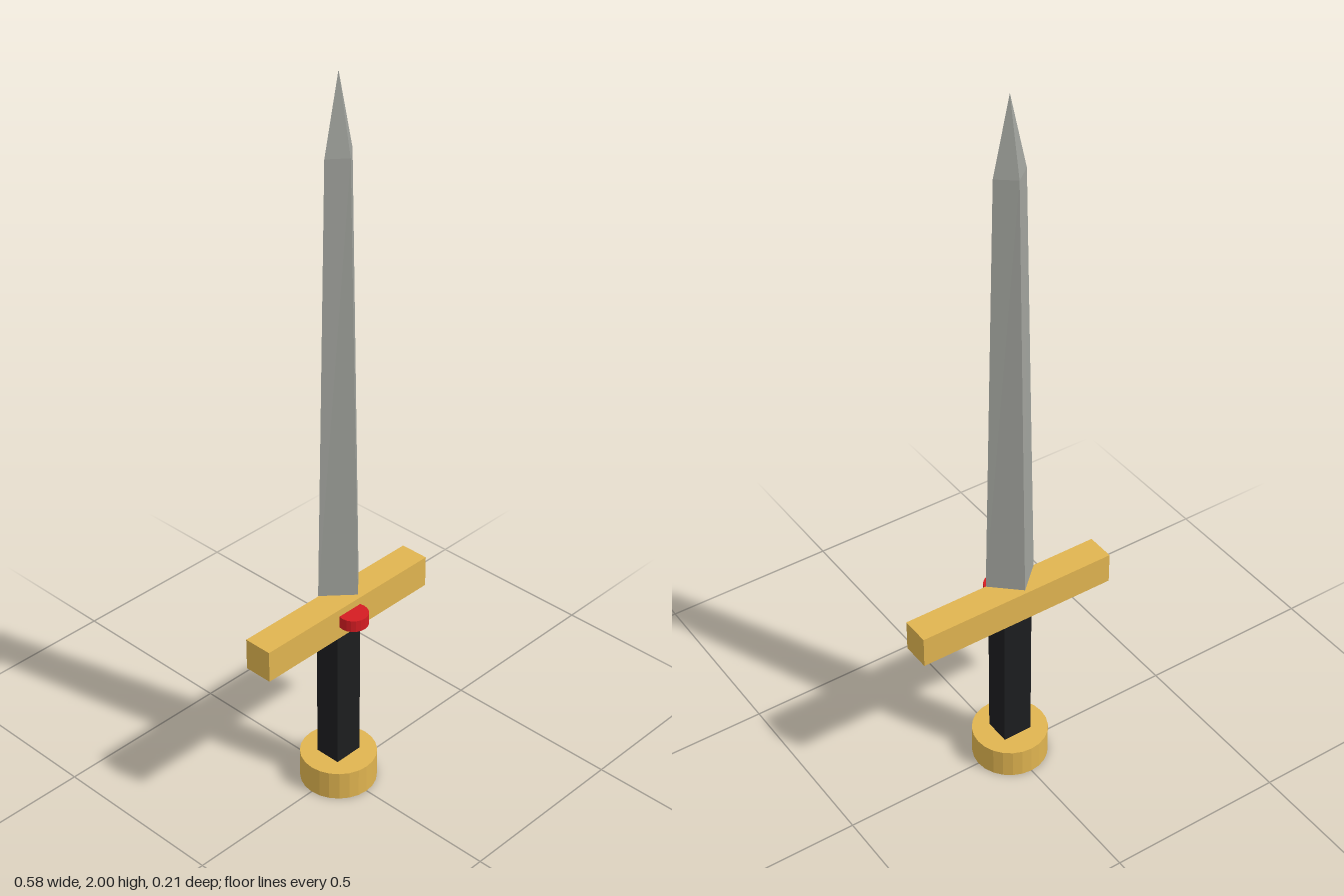
import * as THREE from 'three';

const material = (color) => new THREE.MeshStandardMaterial({ color, flatShading: true });

export function createModel() {
  const model = new THREE.Group();
  const gold = material(0xe0b450);
  const steel = material(0xa0a29c);
  const leather = material(0x1c1d1f);
  const red = material(0xd41c22);

  const add = (name, geometry, mat, x, y, z) => {
    const mesh = new THREE.Mesh(geometry, mat);
    mesh.name = name;
    mesh.position.set(x, y, z);
    model.add(mesh);
  };

  // Round pommel
  add('pommel', new THREE.CylinderGeometry(0.103, 0.103, 0.083, 24), gold, 0, 0.0415, 0);

  // Square grip
  add('grip', new THREE.BoxGeometry(0.084, 0.41, 0.074), leather, 0, 0.29, 0);

  // Crossguard bar
  add('crossguard', new THREE.BoxGeometry(0.576, 0.088, 0.08), gold, 0, 0.534, 0);

  // Gem disc set into the front of the guard
  add('gem', new THREE.CylinderGeometry(0.04, 0.04, 0.033, 20), red, 0, 0.541, 0.052);

  // Diamond-section blade: base, shoulder, point
  const blade = new THREE.CylinderGeometry(1, 1, 1, 4, 2).toNonIndexed();
  const rows = [
    { y: 0.62, x: 0.074, z: 0.068 },
    { y: 1.8, x: 0.046, z: 0.038 },
    { y: 2, x: 0, z: 0 },
  ];
  const p = blade.attributes.position;
  for (let i = 0; i < p.count; i++) {
    const row = rows[Math.round((p.getY(i) + 0.5) * 2)];
    p.setXYZ(i, p.getX(i) * row.x, row.y, p.getZ(i) * row.z);
  }
  blade.computeVertexNormals();
  add('blade', blade, steel, 0, 0, 0);

  return model;
}
